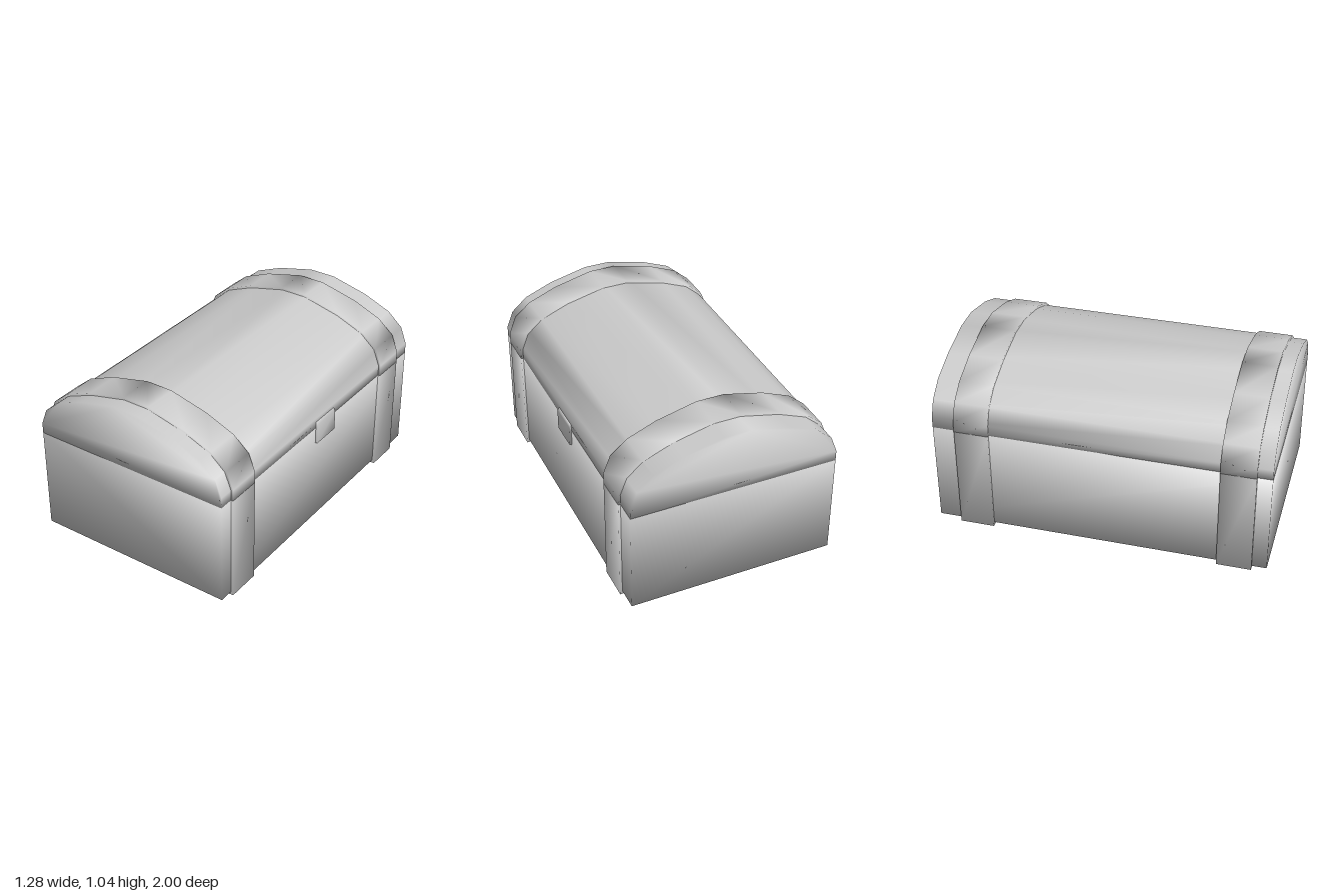
import * as THREE from 'three';
import { mergeVertices } from 'three/addons/utils/BufferGeometryUtils.js';

const material = new THREE.MeshStandardMaterial({ color: 0xcccccc });

// Extrudes an outline between two depths, with normals shared across the edges.
function prism(name, points, zBack, zFront) {
  const shape = new THREE.Shape(points.map(([x, y]) => new THREE.Vector2(x, y)));
  let geometry = new THREE.ExtrudeGeometry(shape, { depth: zFront - zBack, bevelEnabled: false });
  geometry.translate(0, 0, zBack);
  geometry.deleteAttribute('uv');
  geometry.deleteAttribute('normal');
  geometry = mergeVertices(geometry, 1e-4);
  geometry.computeVertexNormals();
  const mesh = new THREE.Mesh(geometry, material);
  mesh.name = name;
  return mesh;
}

// Mirrors the right half of an outline (bottom to top) to the left.
function mirrored(half) {
  return [...half, ...half.map(([x, y]) => [-x, y]).reverse()];
}

export function createModel() {
  const group = new THREE.Group();
  group.name = 'chest';

  // Body and domed lid
  const body = mirrored([[0.628, 0.02], [0.628, 0.655]]);
  const lid = mirrored([
    [0.628, 0.655], [0.628, 0.72], [0.588, 0.822], [0.492, 0.905], [0.32, 0.974], [0.083, 1.03],
  ]);
  group.add(prism('body', body, -1, 1), prism('lid', lid, -1, 1));

  // Straps wrapped around the body and over the lid
  const lowerStrap = mirrored([[0.642, 0], [0.642, 0.655]]);
  const upperStrap = mirrored([
    [0.642, 0.655], [0.642, 0.725], [0.6, 0.832], [0.5, 0.916], [0.325, 0.987], [0.085, 1.045],
  ]);
  for (const [side, z0, z1] of [['front', 0.705, 0.912], ['back', -0.865, -0.658]]) {
    group.add(
      prism(side + 'LowerStrap', lowerStrap, z0, z1),
      prism(side + 'UpperStrap', upperStrap, z0, z1),
    );
  }

  // Latch over the seam on the left side
  const latch = [[0.6, 0.553], [0.642, 0.553], [0.642, 0.682], [0.632, 0.695], [0.6, 0.695]];
  group.add(prism('latch', latch, -0.13, 0.06));

  return group;
}
